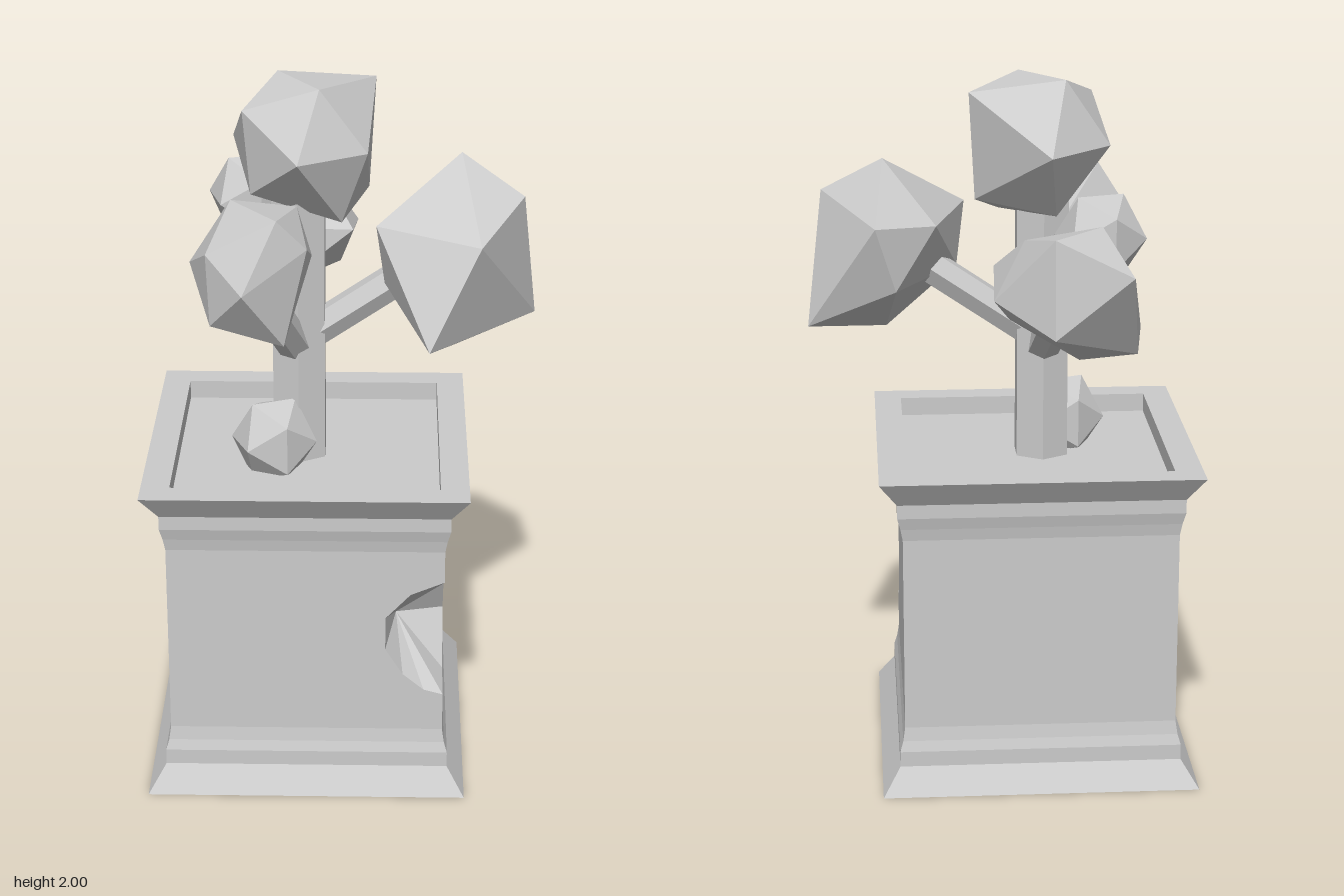
import * as THREE from 'three';
import { ConvexGeometry } from 'three/addons/geometries/ConvexGeometry.js';

const material = new THREE.MeshStandardMaterial({ color: 0xcccccc, flatShading: true });
const thin = new THREE.MeshStandardMaterial({ color: 0xcccccc, flatShading: true, side: THREE.DoubleSide });
const V = (x, y, z) => new THREE.Vector3(x, y, z);

function add(parent, name, geometry, mat = material) {
  const mesh = new THREE.Mesh(geometry, mat);
  mesh.name = name;
  parent.add(mesh);
  return mesh;
}

// Square lathe: profile points are [half width, height]
function squareLathe(profile) {
  const pts = profile.map(([h, y]) => new THREE.Vector2(h * Math.SQRT2, y));
  return new THREE.LatheGeometry(pts, 4, Math.PI / 4).toNonIndexed();
}

// Straight limb between two points
function limb(parent, name, a, b, radius, sides) {
  const d = b.clone().sub(a);
  const mesh = add(parent, name, new THREE.CylinderGeometry(radius, radius, d.length(), sides));
  mesh.position.copy(a).addScaledVector(d, 0.5);
  mesh.quaternion.setFromUnitVectors(V(0, 1, 0), d.normalize());
}

// Faceted clump stretched to a given half size
function clump(parent, name, centre, half, turn) {
  const geo = new THREE.IcosahedronGeometry(1, 0);
  geo.rotateY(turn);
  geo.computeBoundingBox();
  const m = geo.boundingBox.max;
  geo.scale(half[0] / m.x, half[1] / m.y, half[2] / m.z);
  add(parent, name, geo).position.set(...centre);
}

function makePot() {
  const pot = new THREE.Group();
  pot.name = 'pot';
  const H = 0.39, Y0 = 0.19, Y1 = 0.76, SOIL = 0.89;

  // Mouldings, rim and soil
  add(pot, 'baseMoulding', squareLathe([
    [0, 0], [0.455, 0], [0.405, 0.075], [0.405, 0.12], [0.396, 0.15], [H, Y0],
  ]));
  add(pot, 'rimMoulding', squareLathe([
    [H, Y1], [0.396, 0.795], [0.405, 0.83], [0.405, 0.87], [0.455, 0.945], [0.375, 0.945], [0.375, SOIL],
  ]));
  const soil = add(pot, 'soil', new THREE.PlaneGeometry(0.75, 0.75).rotateX(-Math.PI / 2));
  soil.position.y = SOIL;

  // Chipped corner: break line on the front [x, y] and on the side [z, y]
  const top = [H, 0.665], bottom = [H, 0.305];
  const frontBreak = [top, [0.295, 0.625], [0.225, 0.55], [0.225, 0.45], [0.275, 0.37], [0.335, 0.32], bottom];
  const sideBreak = [top, [0.28, 0.64], [0.205, 0.49], [0.28, 0.33], bottom];

  // Four wall panels, two of them cut by the chip
  const panel = (name, cut, angle, flip = 1) => {
    const pts = [[-H, Y0], [-H, Y1], [H, Y1], ...cut, [H, Y0]];
    const shape = new THREE.Shape(pts.map(([u, y]) => new THREE.Vector2(u * flip, y)));
    add(pot, name, new THREE.ShapeGeometry(shape).translate(0, 0, H).rotateY(angle));
  };
  panel('frontWall', frontBreak, 0);
  panel('leftWall', sideBreak, Math.PI / 2, -1);
  panel('backWall', [], Math.PI);
  panel('rightWall', [], -Math.PI / 2);

  // Faceted hollow of the chip, fanned from its deepest point
  const loop = [
    ...frontBreak.map(([x, y]) => [x, y, H]),
    ...sideBreak.slice(1, -1).reverse().map(([z, y]) => [H, y, z]),
  ];
  const deep = [0.255, 0.49, 0.238];
  const tris = loop.flatMap((p, i) => [...p, ...deep, ...loop[(i + 1) % loop.length]]);
  const hollow = new THREE.BufferGeometry();
  hollow.setAttribute('position', new THREE.Float32BufferAttribute(tris, 3));
  hollow.computeVertexNormals();
  add(pot, 'chippedCorner', hollow, thin);

  pot.position.set(-0.095, 0, 0.045);
  return pot;
}

function makeTree() {
  const tree = new THREE.Group();
  tree.name = 'tree';

  // Trunk and branches
  limb(tree, 'trunk', V(-0.122, 0.88, 0.045), V(-0.122, 1.68, 0.045), 0.085, 6);
  limb(tree, 'leftBranch', V(-0.12, 1.24, 0.045), V(0.28, 1.51, 0.045), 0.05, 6);
  limb(tree, 'frontBranch', V(-0.12, 1.2, 0.05), V(-0.23, 1.5, 0.32), 0.05, 6);
  limb(tree, 'backBranch', V(-0.12, 1.2, 0.03), V(-0.17, 1.45, -0.26), 0.05, 6);

  // Irregular faceted foliage, each the hull of a few corners
  const foliage = {
    topFoliage: [
      [-0.06, 2, 0.14], [-0.18, 2, -0.05], [0.093, 1.975, -0.089], [-0.27, 1.94, 0.14],
      [-0.117, 1.82, 0.253], [0.072, 1.82, 0.138], [-0.306, 1.815, -0.05], [-0.126, 1.82, -0.268],
      [0.075, 1.667, -0.05], [0, 1.61, 0.1], [-0.25, 1.7, 0.13], [-0.15, 1.63, -0.12],
    ],
    leftFoliage: [
      [0.333, 1.78, -0.012], [0.507, 1.677, 0.065], [0.55, 1.3, -0.03], [0.383, 1.6, 0.28],
      [0.096, 1.62, 0.16], [0.244, 1.33, 0.37], [0.357, 1.61, -0.17], [0.185, 1.6, -0.09],
      [0.325, 1.26, 0.12], [0.12, 1.44, 0.12], [0.3, 1.42, -0.125],
    ],
    frontFoliage: [
      [-0.415, 1.534, 0.216], [-0.3, 1.715, 0.22], [-0.167, 1.72, 0.41], [-0.087, 1.63, 0.38],
      [-0.257, 1.535, 0.49], [-0.36, 1.61, 0.37], [-0.08, 1.55, 0.2], [-0.35, 1.413, 0.388],
      [-0.29, 1.36, 0.25], [-0.15, 1.36, 0.4], [-0.2, 1.58, 0.14], [-0.12, 1.69, 0.2],
    ],
    backFoliage: [
      [-0.256, 1.65, -0.346], [-0.05, 1.6, -0.275], [-0.117, 1.645, -0.48], [-0.33, 1.54, -0.488],
      [0.04, 1.455, -0.376], [0.028, 1.5, -0.15], [-0.117, 1.375, -0.505], [-0.368, 1.36, -0.305],
      [-0.36, 1.285, -0.32], [-0.2, 1.265, -0.3], [-0.01, 1.37, -0.25], [-0.15, 1.355, -0.15],
      [-0.3, 1.5, -0.17],
    ],
  };
  for (const [name, corners] of Object.entries(foliage)) {
    add(tree, name, new ConvexGeometry(corners.map((c) => V(...c))));
  }
  clump(tree, 'smallFoliage', [-0.265, 1.59, -0.2], [0.125, 0.115, 0.11], 0.3);
  clump(tree, 'groundShrub', [-0.192, 0.97, 0.14], [0.122, 0.115, 0.098], 0.4);
  return tree;
}

export function createModel() {
  const model = new THREE.Group();
  model.name = 'pottedTree';
  model.add(makePot(), makeTree());
  return model;
}
